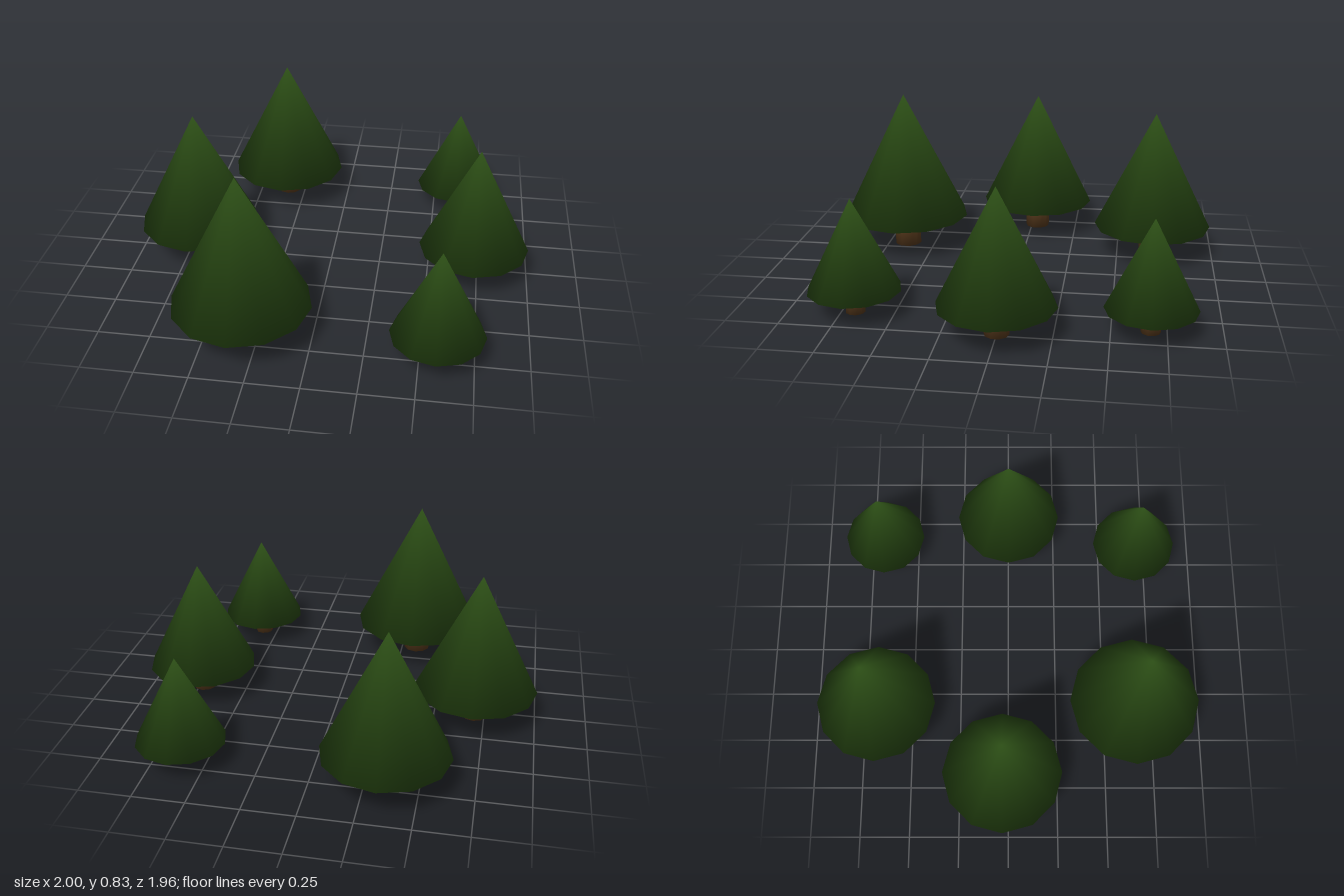
import * as THREE from 'three';
import { mergeVertices } from 'three/addons/utils/BufferGeometryUtils.js';

// Weld a geometry and average the face normals around each vertex, rounding its rims.
function softened(source) {
  source.deleteAttribute('normal');
  source.deleteAttribute('uv');
  const geometry = mergeVertices(source, 1e-4);
  const { position } = geometry.attributes;
  const index = geometry.index.array;
  const sums = Array.from({ length: position.count }, () => new THREE.Vector3());
  const triangle = new THREE.Triangle();
  const normal = new THREE.Vector3();
  for (let i = 0; i < index.length; i += 3) {
    const corners = [index[i], index[i + 1], index[i + 2]];
    triangle.setFromAttributeAndIndices(position, ...corners);
    triangle.getNormal(normal);
    corners.forEach((c) => sums[c].add(normal));
  }
  const normals = sums.flatMap((n) => n.normalize().toArray());
  geometry.setAttribute('normal', new THREE.Float32BufferAttribute(normals, 3));
  return geometry;
}

// Every tree is the same unit tree (foliage radius 1), scaled and placed.
const TRUNK_HEIGHT = 0.515;
const FOLIAGE_HEIGHT = 2;
const TRUNK_RADIUS = 0.215;

// x, z, foliage radius
const TREES = [
  [-0.34, -0.68, 0.303],
  [0.62, -0.677, 0.213],
  [-0.699, -0.031, 0.302],
  [0.725, 0.001, 0.273],
  [-0.33, 0.648, 0.33],
  [0.578, 0.686, 0.22],
];

export function createModel() {
  const forest = new THREE.Group();
  forest.name = 'forest';

  const leafMaterial = new THREE.MeshStandardMaterial({ color: 0x2d5016 });
  const barkMaterial = new THREE.MeshStandardMaterial({ color: 0x5c3d1e });

  const foliageGeometry = softened(new THREE.ConeGeometry(1, FOLIAGE_HEIGHT, 12));
  foliageGeometry.translate(0, TRUNK_HEIGHT + FOLIAGE_HEIGHT / 2, 0);

  const trunkGeometry = softened(
    new THREE.CylinderGeometry(TRUNK_RADIUS, TRUNK_RADIUS, TRUNK_HEIGHT, 10));
  trunkGeometry.translate(0, TRUNK_HEIGHT / 2, 0);

  TREES.forEach(([x, z, radius], i) => {
    const tree = new THREE.Group();
    tree.name = `tree${i + 1}`;

    const trunk = new THREE.Mesh(trunkGeometry, barkMaterial);
    trunk.name = 'trunk';
    const foliage = new THREE.Mesh(foliageGeometry, leafMaterial);
    foliage.name = 'foliage';

    tree.add(trunk, foliage);
    tree.scale.setScalar(radius);
    tree.position.set(x, 0, z);
    forest.add(tree);
  });

  return forest;
}
